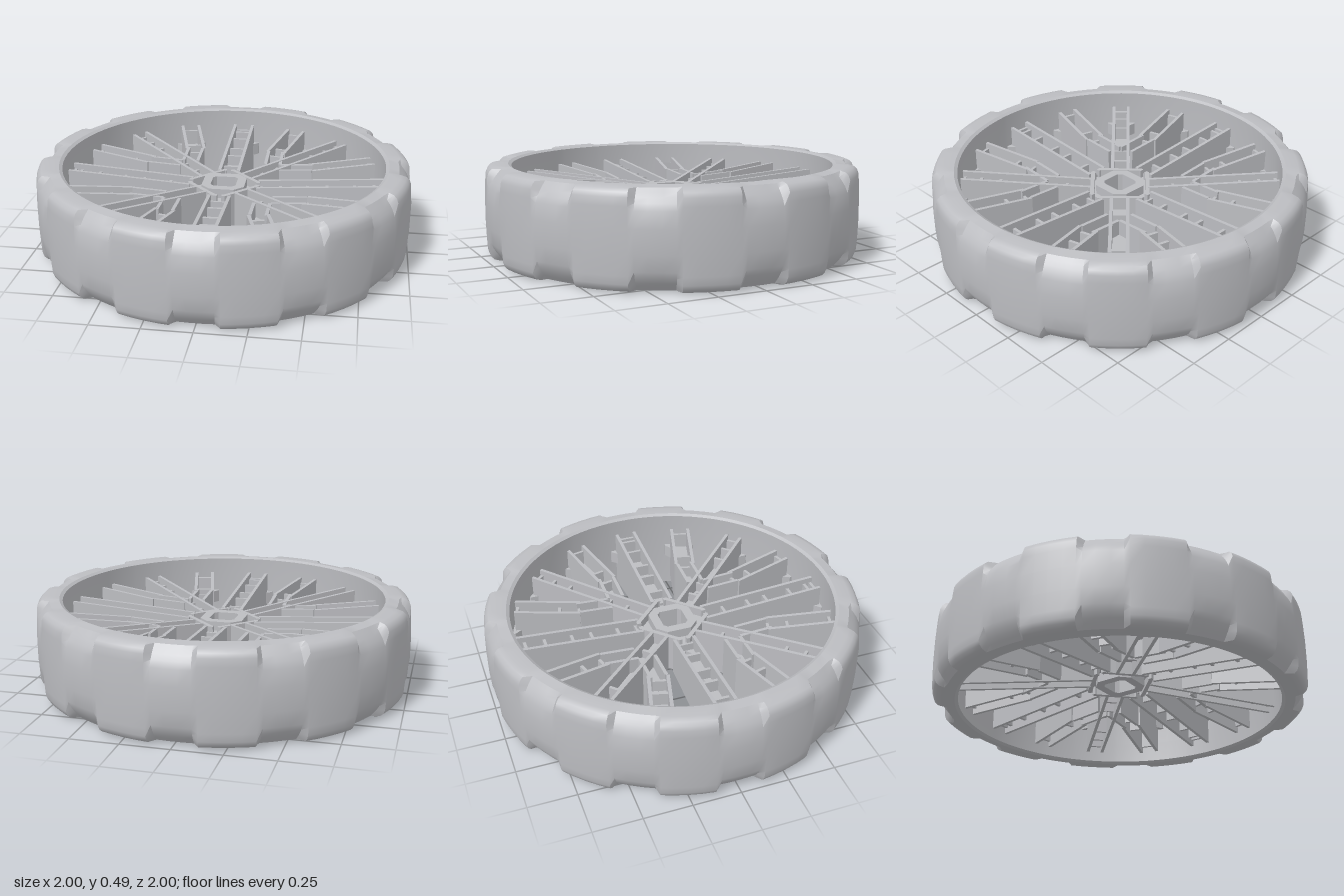
import * as THREE from 'three';
import { toCreasedNormals } from 'three/addons/utils/BufferGeometryUtils.js';

const MID = 0.245;
const grey = new THREE.MeshStandardMaterial({ color: 0xbcbdc1 });
grey.name = 'plain grey';

function part(name, geometry, parent) {
  const mesh = new THREE.Mesh(geometry, grey);
  mesh.name = name;
  parent.add(mesh);
  return mesh;
}

function polygon(points) {
  return points.map(([x, y]) => new THREE.Vector2(x, y));
}

// Flat plate lying in x/z between two heights
function plate(shape, bottom, top) {
  const g = new THREE.ExtrudeGeometry(shape, { depth: top - bottom, bevelEnabled: false });
  return g.rotateX(Math.PI / 2).translate(0, top, 0);
}

// Tyre: one closed section swept round, with the shoulders cut back at twelve notches
function tyreGeometry() {
  const round = [[0.996, 0.16], [0.993, 0.2], [0.984, 0.222], [0.968, 0.237], [0.94, 0.245]];
  const cut = [[0.99, 0.14], [0.976, 0.172], [0.96, 0.197], [0.944, 0.217], [0.927, 0.237]];
  const inner = [[0.875, 0.245], [0.858, 0.235], [0.862, 0.12]];
  const section = (notched) => {
    const up = [[1, 0.06], ...(notched ? cut : round), ...inner];
    const down = up.map(([r, y]) => [r, -y]).reverse();
    return [...up, ...down];
  };
  const angles = [];
  for (let k = 0; k < 12; k++) {
    for (const a of [-15, -11, -7.2, -5.6, -2, 2, 5.6, 7.2, 11]) angles.push([k * 30 + a, Math.abs(a) < 6]);
  }
  const pos = [], index = [];
  const n = section(false).length, m = angles.length;
  for (const [deg, notched] of angles) {
    const t = THREE.MathUtils.degToRad(deg);
    for (const [r, y] of section(notched)) pos.push(r * Math.sin(t), MID + y, r * Math.cos(t));
  }
  for (let i = 0; i < m; i++) {
    for (let j = 0; j < n; j++) {
      const i2 = (i + 1) % m, j2 = (j + 1) % n;
      const a = i * n + j, b = i2 * n + j, c = i2 * n + j2, d = i * n + j2;
      index.push(a, b, c, a, c, d);
    }
  }
  const g = new THREE.BufferGeometry();
  g.setAttribute('position', new THREE.Float32BufferAttribute(pos, 3));
  g.setIndex(index);
  return toCreasedNormals(g, 0.5);
}

// Spoke edges spread apart towards the tyre
const spread = (r) => Math.max(0, (r - 0.2) / 0.65);
const topAt = (r) => MID + 0.105 + 0.045 * spread(r);
const bottomAt = (r) => MID - 0.105 - 0.075 * spread(r);

// Channel spoke from a to b: two side walls, a web with diamond holes, and cross ribs
function spoke(name, a, b, half, holes, flared, parent) {
  const [dx, dz] = [b[0] - a[0], b[1] - a[1]];
  const L = Math.hypot(dx, dz);
  const r0 = Math.hypot(...a), r1 = Math.hypot(...b);
  const group = new THREE.Group();
  group.name = name;
  group.position.set(a[0], 0, a[1]);
  group.rotation.y = Math.atan2(-dz, dx);
  parent.add(group);

  const t = 0.018;
  const side = new THREE.Shape(polygon([[0, bottomAt(r0)], [L, bottomAt(r1)], [L, topAt(r1)], [0, topAt(r0)]]));
  for (const s of [-1, 1]) {
    const g = new THREE.ExtrudeGeometry(side, { depth: t, bevelEnabled: false });
    part('spokeWall', g.translate(0, 0, s * (half - t / 2) - t / 2), group);
  }

  const w = half - 0.004, f = flared ? 0.035 : 0;
  const web = new THREE.Shape(polygon([
    [0, -w], [L - f, -w], [L, -w - f], [L + f * 0.5, -w - f],
    [L + f * 0.5, w + f], [L, w + f], [L - f, w], [0, w],
  ]));
  for (const h of holes) {
    web.holes.push(new THREE.Path(polygon([[h - 0.042, 0], [h, 0.034], [h + 0.042, 0], [h, -0.034]])));
  }
  part('spokeWeb', plate(web, MID - 0.035, MID + 0.035), group);

  const ribs = holes.flatMap((h) => [h - 0.052, h + 0.052]);
  if (flared) ribs.push(L - 0.012);
  for (const x of ribs) {
    if (x < 0 || x > L) continue;
    const r = r0 + (r1 - r0) * x / L;
    const hi = topAt(r) - 0.03, lo = bottomAt(r) + 0.03;
    part('crossRib', new THREE.BoxGeometry(0.016, hi - lo, 2 * w), group).position.set(x, (hi + lo) / 2, 0);
  }
}

// Square outline with cut corners
function cutSquare(h, c) {
  return polygon([[h, -h + c], [h, h - c], [h - c, h], [-h + c, h], [-h, h - c], [-h, -h + c], [-h + c, -h], [h - c, -h]]);
}

function buildHub(parent) {
  const hub = new THREE.Group();
  hub.name = 'hub';
  parent.add(hub);

  // Collar round the square axle hole
  const collar = new THREE.Shape(cutSquare(0.115, 0.05));
  collar.holes.push(new THREE.Path(cutSquare(0.068, 0.018)));
  part('axleCollar', plate(collar, 0.135, 0.355), hub);

  // Floor joining the collar to the outer frame
  const diamond = (r, c) => polygon([[r, -c], [r, c], [c, r], [-c, r], [-r, c], [-r, -c], [-c, -r], [c, -r]]);
  const floor = new THREE.Shape(diamond(0.195, 0.03));
  floor.holes.push(new THREE.Path(cutSquare(0.1, 0.04)));
  part('hubFloor', plate(floor, MID - 0.06, MID + 0.06), hub);

  // Four outer frame pieces with slots between them
  const piece = new THREE.Shape(polygon([
    [0.195, 0.012], [0.195, 0.03], [0.03, 0.195], [0.012, 0.195],
    [0.012, 0.172], [0.022, 0.172], [0.172, 0.022], [0.172, 0.012],
  ]));
  for (let k = 0; k < 4; k++) {
    part('hubFrame', plate(piece, 0.14, 0.35), hub).rotation.y = k * Math.PI / 2;
  }
}

export function createModel() {
  const model = new THREE.Group();
  model.name = 'wheel';
  part('tyre', tyreGeometry(), model);
  buildHub(model);

  // Each quarter: one straight spoke, one diagonal spoke and two bent branches
  for (let k = 0; k < 4; k++) {
    const quarter = new THREE.Group();
    quarter.name = 'spokeQuarter';
    quarter.rotation.y = k * Math.PI / 2;
    model.add(quarter);
    spoke('straightSpoke', [0.18, 0], [0.85, 0], 0.062, [0.07, 0.32, 0.57], true, quarter);
    spoke('diagonalSpoke', [0.105, 0.105], [0.602, 0.602], 0.052, [0.19, 0.55], true, quarter);
    for (const swap of [false, true]) {
      const p = (x, z) => (swap ? [z, x] : [x, z]);
      spoke('branchInner', p(0.235, 0.28), p(0.235, 0.46), 0.05, [], false, quarter);
      spoke('branchOuter', p(0.235, 0.45), p(0.325, 0.79), 0.058, [0.06], true, quarter);
    }
  }
  return model;
}
